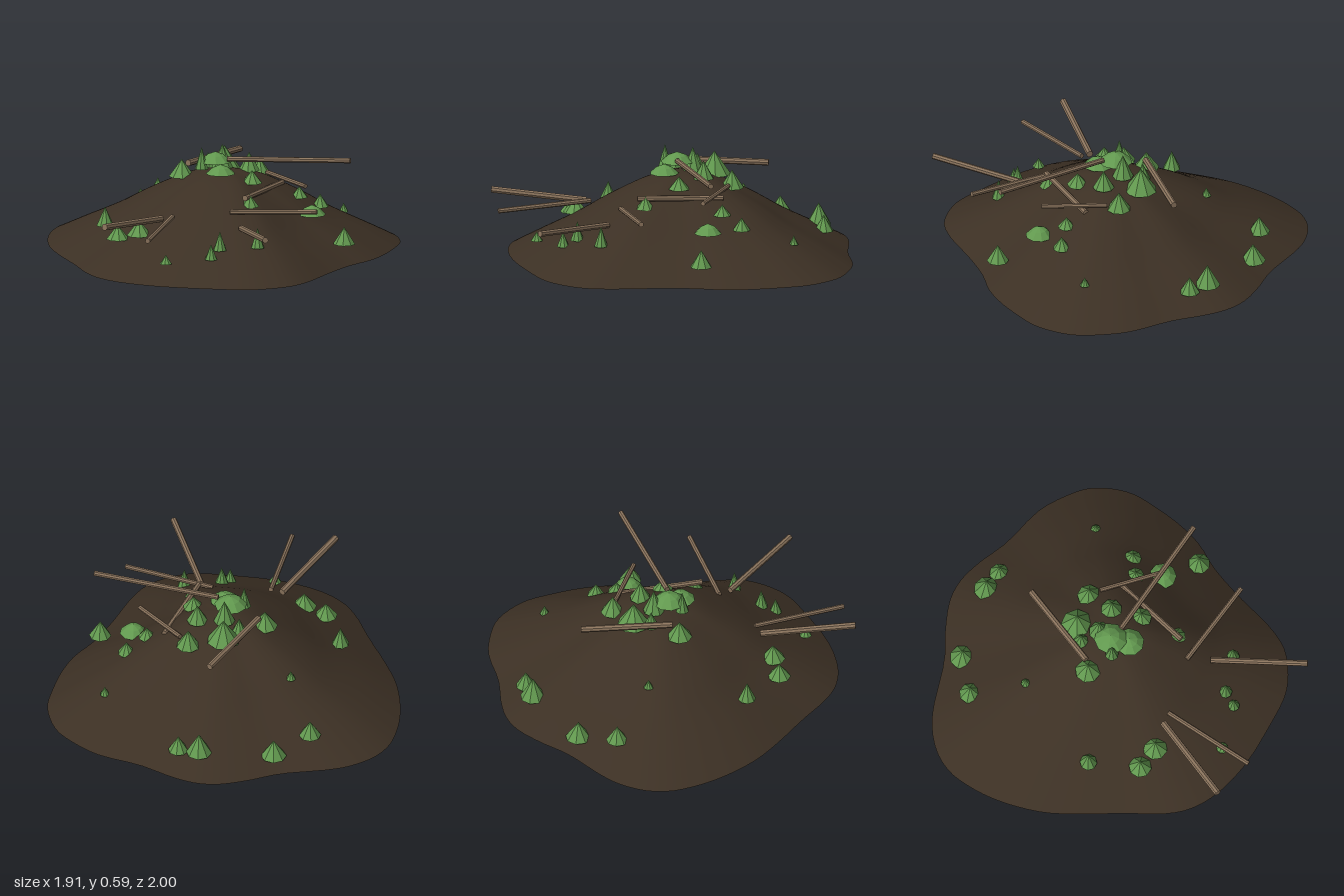
import * as THREE from 'three';

const APEX = [0, -0.05];
const RINGS = 22, SEG = 96;

// Mound footprint, clockwise seen from above (x, z)
const footprint = [
  [0.08, -1], [0.2, -0.98], [0.32, -0.92], [0.49, -0.8], [0.71, -0.69], [0.83, -0.58],
  [0.915, -0.465], [0.95, -0.34], [0.953, -0.22], [0.915, -0.085], [0.86, 0.06], [0.78, 0.2],
  [0.67, 0.32], [0.555, 0.49], [0.425, 0.715], [0.33, 0.82], [0.2, 0.88], [0.08, 0.9],
  [-0.1, 0.873], [-0.39, 0.8], [-0.6, 0.69], [-0.71, 0.58], [-0.77, 0.46], [-0.825, 0.265],
  [-0.905, 0.015], [-0.947, -0.16], [-0.957, -0.32], [-0.947, -0.465], [-0.92, -0.59], [-0.87, -0.715],
  [-0.78, -0.815], [-0.645, -0.885], [-0.525, -0.91], [-0.26, -0.93], [-0.09, -0.975],
];
const rim = new THREE.CatmullRomCurve3(footprint.map(([x, z]) => new THREE.Vector3(x, 0, z)), true)
  .getPoints(SEG).slice(0, SEG);

// Mound height from centre (t = 0) to rim (t = 1)
const slope = new THREE.SplineCurve([
  [0, 0.455], [0.1, 0.447], [0.21, 0.417], [0.33, 0.36], [0.47, 0.285], [0.63, 0.19], [0.84, 0.083], [1, 0],
].map(([t, y]) => new THREE.Vector2(t, y))).getPoints(140);

function heightAt(t) {
  for (let i = 1; i < slope.length; i++) {
    const a = slope[i - 1], b = slope[i];
    if (t <= b.x) return a.y + (b.y - a.y) * (t - a.x) / (b.x - a.x);
  }
  return 0;
}

// Height of the mound under a ground position
function groundAt(x, z) {
  const px = x - APEX[0], pz = z - APEX[1];
  for (let i = 0; i < SEG; i++) {
    const a = rim[i], b = rim[(i + 1) % SEG];
    const ax = a.x - APEX[0], az = a.z - APEX[1], bx = b.x - APEX[0], bz = b.z - APEX[1];
    const d = ax * bz - az * bx;
    const u = (px * bz - pz * bx) / d, v = (ax * pz - az * px) / d;
    if (u >= 0 && v >= 0) return heightAt(u + v);
  }
  return 0;
}

function moundGeometry() {
  const pos = [], idx = [];
  for (let r = 0; r <= RINGS; r++) {
    const t = r / RINGS;
    for (const p of rim) {
      pos.push(APEX[0] + (p.x - APEX[0]) * t, heightAt(t), APEX[1] + (p.z - APEX[1]) * t);
    }
  }
  for (let r = 0; r < RINGS; r++) {
    for (let i = 0; i < SEG; i++) {
      const j = (i + 1) % SEG;
      const a = r * SEG + i, b = r * SEG + j, c = a + SEG, d = b + SEG;
      if (r > 0) idx.push(a, b, d);
      idx.push(a, d, c);
    }
  }
  const g = new THREE.BufferGeometry();
  g.setAttribute('position', new THREE.Float32BufferAttribute(pos, 3));
  g.setIndex(idx);
  g.computeVertexNormals();
  return g;
}

// Logs: [start], [end], radius
const logs = [
  [[0.01, 0.522, -0.01], [0.67, 0.557, 0.205], 0.015],
  [[-0.2, 0.47, -0.145], [0.095, 0.457, -0.545], 0.018],
  [[0.23, 0.405, -0.195], [0.43, 0.392, 0.1], 0.013],
  [[0.31, 0.367, -0.11], [0.095, 0.375, 0.305], 0.016],
  [[0.015, 0.31, 0.36], [0.478, 0.348, 0.53], 0.014],
  [[0.07, 0.248, 0.48], [0.185, 0.298, 0.995], 0.017],
  [[-0.36, 0.272, 0.34], [-0.68, 0.32, 0.745], 0.019],
  [[-0.3, 0.285, 0.35], [-0.45, 0.265, 0.85], 0.014],
];

// Pointed shrubs: x, z, radius, height, extra lift
const shrubs = [
  [-0.44, -0.73, 0.06, 0.09], [-0.235, -0.835, 0.07, 0.1], [0.17, -0.82, 0.07, 0.12], [0.28, -0.78, 0.055, 0.09],
  [-0.355, -0.44, 0.026, 0.05], [0.65, -0.345, 0.026, 0.05], [0, -0.255, 0.09, 0.13], [0.19, -0.245, 0.065, 0.1],
  [-0.09, -0.205, 0.042, 0.09], [-0.235, -0.125, 0.07, 0.095], [-0.015, -0.125, 0.058, 0.13],
  [0.13, -0.1, 0.058, 0.1], [-0.13, -0.02, 0.037, 0.12, 0.03], [0.14, 0.065, 0.058, 0.07],
  [0.4, -0.045, 0.048, 0.06], [0.515, -0.095, 0.048, 0.07], [-0.655, 0.005, 0.048, 0.105, 0.02],
  [-0.595, 0.28, 0.063, 0.08, 0.02], [-0.48, 0.33, 0.068, 0.085], [0.12, 0.27, 0.052, 0.07, -0.02],
  [0.635, 0.245, 0.06, 0.095, 0.05], [-0.345, 0.67, 0.033, 0.05, 0.02], [-0.1, 0.66, 0.034, 0.085],
  [-0.05, 0.6, 0.037, 0.105], [0.155, 0.58, 0.037, 0.11],
];

// Low spreading bushes: x, y, z, radius, height
const bushes = [
  [-0.055, 0.5, -0.05, 0.09, 0.055], [-0.03, 0.455, 0.05, 0.08, 0.05], [0.465, 0.232, 0.09, 0.075, 0.055],
];

export function createModel() {
  const model = new THREE.Group();
  const soil = new THREE.MeshStandardMaterial({ color: 0x3c3024 });
  const bark = new THREE.MeshStandardMaterial({ color: 0x8a735c });
  const leaf = new THREE.MeshStandardMaterial({ color: 0x62994f });
  soil.name = 'soil brown';
  bark.name = 'bark brown';
  leaf.name = 'leaf green';

  const add = (name, geometry, material, parent = model) => {
    const mesh = new THREE.Mesh(geometry, material);
    mesh.name = name;
    parent.add(mesh);
    return mesh;
  };
  const group = (name) => {
    const g = new THREE.Group();
    g.name = name;
    model.add(g);
    return g;
  };
  // Faceted shapes get unshared corners so every side is flat
  const faceted = (geometry) => {
    const g = geometry.toNonIndexed();
    g.computeVertexNormals();
    return g;
  };

  // Earth mound and its flat underside
  add('mound', moundGeometry(), soil);
  const base = new THREE.ShapeGeometry(new THREE.Shape(rim.map((p) => new THREE.Vector2(p.x, p.z))));
  base.rotateX(Math.PI / 2);
  add('moundBase', base, soil);

  // Scattered logs
  const logGroup = group('logs');
  for (const [from, to, radius] of logs) {
    const a = new THREE.Vector3(...from), b = new THREE.Vector3(...to);
    const dir = b.clone().sub(a);
    const log = add('log', faceted(new THREE.CylinderGeometry(radius, radius, dir.length(), 8)), bark, logGroup);
    log.position.copy(a).add(b).multiplyScalar(0.5);
    log.quaternion.setFromUnitVectors(new THREE.Vector3(0, 1, 0), dir.normalize());
  }

  // Pointed shrubs standing on the mound
  const shrubGroup = group('shrubs');
  const cone = faceted(new THREE.ConeGeometry(1, 1, 8).translate(0, 0.5, 0));
  shrubs.forEach(([x, z, radius, height, lift = 0], i) => {
    const shrub = add('shrub', cone, leaf, shrubGroup);
    shrub.position.set(x, groundAt(x, z) + lift, z);
    shrub.scale.set(radius, height, radius);
    shrub.rotation.y = i * 0.7;
  });

  // Low bushes with a shallow crown
  const bushGroup = group('bushes');
  const crown = faceted(new THREE.LatheGeometry(
    [[0, 0], [1, 0], [0.55, 0.65], [0, 1]].map(([r, y]) => new THREE.Vector2(r, y)), 9));
  bushes.forEach(([x, y, z, radius, height], i) => {
    const bush = add('bush', crown, leaf, bushGroup);
    bush.position.set(x, y, z);
    bush.scale.set(radius, height, radius);
    bush.rotation.y = i * 0.5;
  });

  return model;
}
